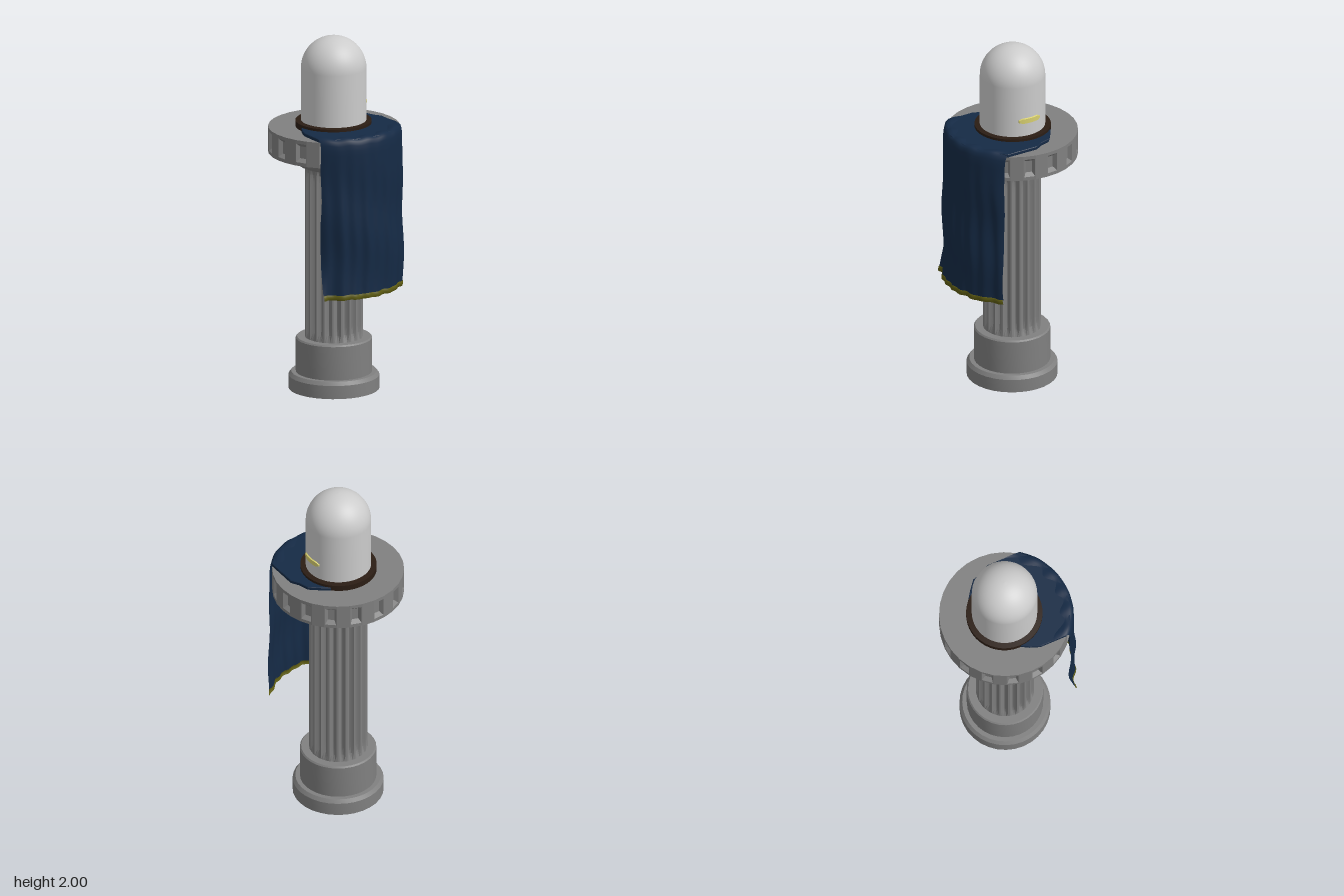
import * as THREE from 'three';
import { toCreasedNormals } from 'three/addons/utils/BufferGeometryUtils.js';

const AXIS_Z = -0.015; // centre line of the column

const mat = (color, extra = {}) => {
  const m = new THREE.MeshStandardMaterial({ color });
  return Object.assign(m, extra);
};

function add(parent, name, geometry, material, y = 0) {
  const mesh = new THREE.Mesh(geometry, material);
  mesh.name = name;
  mesh.position.y = y;
  parent.add(mesh);
  return mesh;
}

const lathe = (pts, sides) =>
  toCreasedNormals(new THREE.LatheGeometry(pts.map(p => new THREE.Vector2(...p)), sides), 0.5);

function indexed(positions, index) {
  const g = new THREE.BufferGeometry();
  g.setAttribute('position', new THREE.Float32BufferAttribute(positions, 3));
  g.setIndex(index);
  return g;
}

// Shaft with flutes that fade out near both ends
function flutedShaft(radius, height, flutes) {
  const steps = [0, 0, 0.75, 1, 0.75];
  const g = new THREE.CylinderGeometry(radius, radius, height, flutes * 5, 24, true);
  const p = g.attributes.position;
  for (let i = 0; i < p.count; i++) {
    const end = height / 2 - Math.abs(p.getY(i));
    const fade = Math.min(1, end / 0.05);
    const col = i % (flutes * 5 + 1);
    const k = 1 - 0.13 * steps[col % 5] * fade;
    p.setX(i, p.getX(i) * k);
    p.setZ(i, p.getZ(i) * k);
  }
  return toCreasedNormals(g, 0.45);
}

// Flat wall panel facing +x, with an optional tapered recess
function wallPanel(apothem, halfW, halfH, recessed) {
  const loops = [[halfW, halfH, 0]];
  if (recessed) loops.push([0.031, 0.053, 0], [0.018, 0.034, -0.022]);
  const pos = [], idx = [];
  for (const [w, h, d] of loops)
    for (const [s, t] of [[-1, -1], [1, -1], [1, 1], [-1, 1]])
      pos.push(apothem + d, t * h, -s * w);
  for (let k = 0; k < loops.length - 1; k++)
    for (let i = 0; i < 4; i++) {
      const a = k * 4 + i, b = k * 4 + (i + 1) % 4;
      idx.push(a, b, b + 4, a, b + 4, a + 4);
    }
  const e = (loops.length - 1) * 4;
  idx.push(e, e + 1, e + 2, e, e + 2, e + 3);
  const g = indexed(pos, idx).toNonIndexed();
  g.computeVertexNormals();
  return g;
}

// Sheet hanging over the front of the balcony: rows of [radius, height]
function drape(rows, offset = 0) {
  const cols = 72, pos = [], idx = [];
  for (const [r0, y] of rows) {
    const hang = Math.min(1, Math.max(0, (1.5 - y) / 0.4));
    for (let j = 0; j <= cols; j++) {
      const u = j / cols;
      const fold = 0.004 * Math.sin(u * 47 + 0.6 * Math.sin(y * 6)) + 0.003 * Math.sin(u * 23 + 1 + y * 3);
      const sway = 0.005 * Math.sin(y * 13 + u * 4);
      const flare = 0.03 * Math.max(0, 1 - u / 0.05) * Math.max(0, 1 - (y - 0.6) / 0.2);
      const r = r0 + offset + (fold + sway) * hang;
      const x = -0.255 + 0.55 * u + 0.003 * Math.sin(y * 17) * hang;
      const z = AXIS_Z + Math.sqrt(Math.max(0, r * r - x * x)) + flare;
      pos.push(x, y + 0.003 * Math.sin(u * 31) * (y > 1.45 ? 1 : 0.6), z);
    }
  }
  for (let i = 0; i < rows.length - 1; i++)
    for (let j = 0; j < cols; j++) {
      const a = i * (cols + 1) + j, b = a + cols + 1;
      idx.push(a, b, b + 1, a, b + 1, a + 1);
    }
  const g = indexed(pos, idx);
  g.computeVertexNormals();
  return g;
}

export function createModel() {
  const model = new THREE.Group();
  model.name = 'columnStand';
  const stone = mat(0x808080);
  const shell = mat(0xcccccc);
  const brown = mat(0x2b1d14);
  const cloth = mat(0x152a45, { side: THREE.DoubleSide });
  const hemMat = mat(0x5e5c12, { side: THREE.DoubleSide });
  const yellow = mat(0xd8d070, { flatShading: true });

  const column = new THREE.Group();
  column.name = 'column';
  column.position.z = AXIS_Z;
  model.add(column);

  // Stepped base, shaft and flared capital
  add(column, 'base', lathe([[0, 0], [0.25, 0], [0.25, 0.075], [0.235, 0.095], [0.21, 0.095],
    [0.21, 0.285], [0.203, 0.293], [0, 0.293]], 32), stone);
  add(column, 'shaft', flutedShaft(0.16, 0.985, 20), stone, 0.783);
  add(column, 'capital', lathe([[0, 1.265], [0.17, 1.265], [0.195, 1.275], [0.225, 1.3],
    [0.243, 1.33], [0.25, 1.347]], 32), stone);

  // Balcony: 32 wall panels, every second one recessed
  const balcony = new THREE.Group();
  balcony.name = 'balcony';
  balcony.position.y = 1.418;
  column.add(balcony);
  const R = 0.362, half = Math.PI / 32, halfH = 0.0725;
  const panels = [true, false].map(r => wallPanel(R * Math.cos(half), R * Math.sin(half), halfH, r));
  for (let i = 0; i < 32; i++) {
    const panel = add(balcony, i % 2 ? 'wallPanel' : 'recessedPanel', panels[i % 2], stone);
    panel.rotation.y = half + i * 2 * half;
  }
  const disc = new THREE.CircleGeometry(R, 32);
  add(balcony, 'balconyTop', disc, stone, halfH).rotation.x = -Math.PI / 2;
  add(balcony, 'balconyUnderside', disc, stone, -halfH).rotation.x = Math.PI / 2;

  // Domed capsule with collar
  const domePts = [[0.18, 1.49], [0.18, 1.65], [0.18, 1.82]];
  for (let i = 1; i <= 14; i++) {
    const a = (i / 14) * Math.PI / 2;
    domePts.push([0.18 * Math.cos(a), 1.82 + 0.18 * Math.sin(a)]);
  }
  const dome = new THREE.LatheGeometry(domePts.map(p => new THREE.Vector2(...p)), 48);
  add(column, 'dome', dome, shell).position.z = -0.003;
  add(column, 'collar', lathe([[0.21, 1.49], [0.21, 1.523], [0.178, 1.526]], 40), brown)
    .position.z = -0.004;

  // Curved lamp slit on the side of the dome
  const slit = new THREE.BoxGeometry(0.14, 0.044, 0.022, 14, 1, 1);
  const p = slit.attributes.position;
  for (let i = 0; i < p.count; i++) {
    const outer = p.getZ(i) > 0, s = p.getX(i) * (outer ? 0.92 : 1);
    const taper = 1 - 0.55 * Math.max(0, (Math.abs(p.getX(i)) - 0.05) / 0.02);
    const r = 0.176 + p.getZ(i), a = s / 0.175;
    p.setXYZ(i, r * Math.cos(a), p.getY(i) * taper * (outer ? 0.6 : 1), -r * Math.sin(a));
  }
  slit.computeVertexNormals();
  add(column, 'lampSlit', slit, yellow, 1.617).position.z = -0.003;

  // Cloth lying on the balcony (outline in x, z), passing under the collar
  const outline = [[-0.19, -0.05], [-0.215, -0.005], [-0.235, 0.03], [-0.255, 0.085], [-0.255, 0.24],
    [-0.2, 0.285], [-0.1, 0.335], [0, 0.345], [0.1, 0.335], [0.2, 0.285], [0.295, 0.2],
    [0.295, 0.01], [0.268, -0.035], [0.25, -0.095], [0.2, -0.135], [0.15, -0.17]];
  const sheet = new THREE.ExtrudeGeometry(
    new THREE.Shape(outline.map(([x, z]) => new THREE.Vector2(x, -z))),
    { depth: 0.014, bevelEnabled: true, bevelThickness: 0.003, bevelSize: 0.003, bevelOffset: -0.003, bevelSegments: 1 });
  add(model, 'clothTop', sheet, cloth, 1.492).rotation.x = -Math.PI / 2;

  // Hanging cloth and its hem
  const rows = [[0.3, 1.506], [0.335, 1.513], [0.357, 1.51], [0.37, 1.498], [0.375, 1.475]];
  for (let i = 1; i <= 30; i++) rows.push([0.378, 1.475 - i * 0.02833]);
  add(model, 'clothDrape', drape(rows), cloth);
  add(model, 'clothHem', drape([[0.375, 0.628], [0.379, 0.626], [0.38, 0.614], [0.379, 0.6], [0.374, 0.6]], 0.002), hemMat);

  return model;
}
